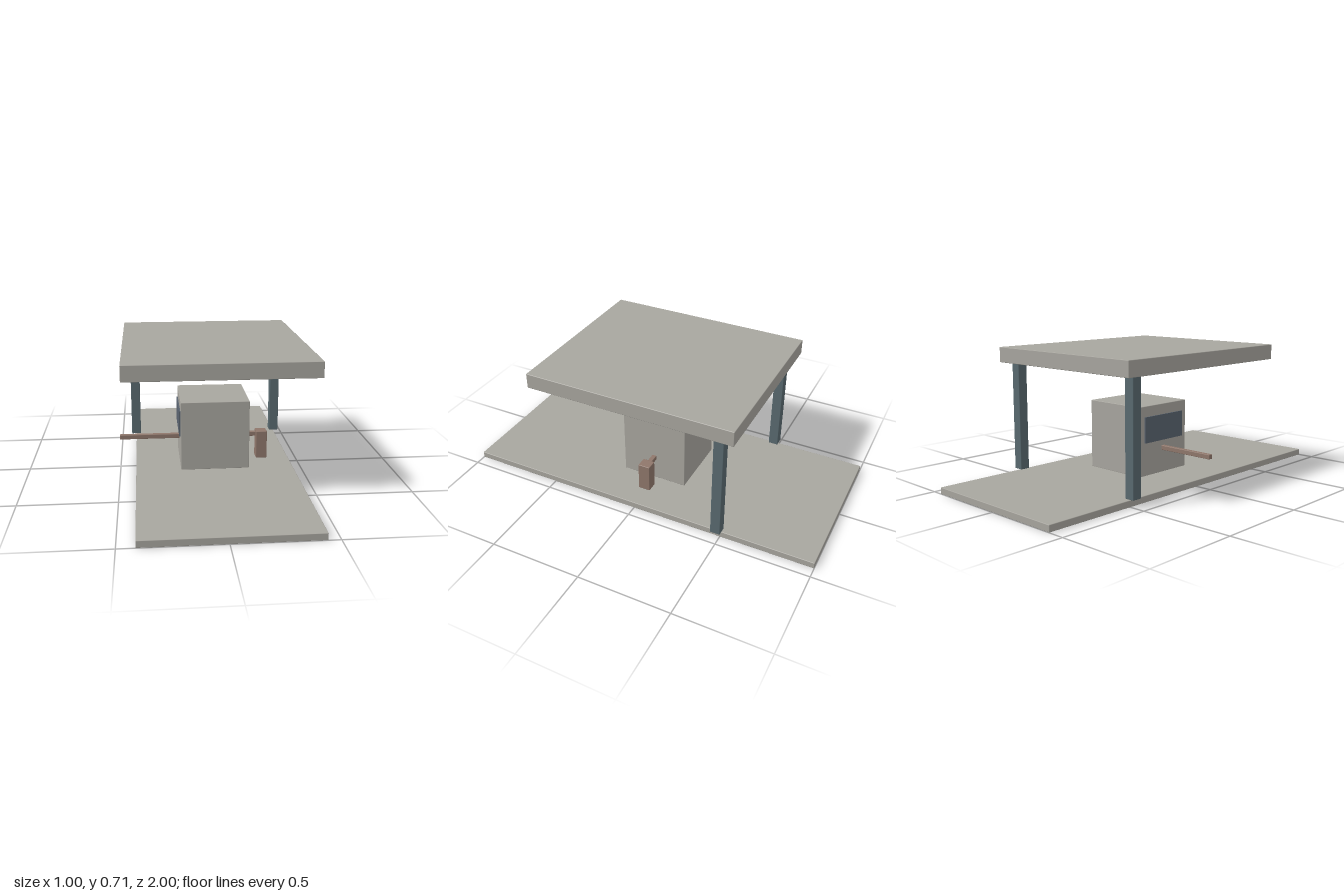
import * as THREE from 'three';
import { RoundedBoxGeometry } from 'three/addons/geometries/RoundedBoxGeometry.js';

function material(name, color) {
  const m = new THREE.MeshStandardMaterial({ color });
  m.name = name;
  return m;
}

export function createModel() {
  const group = new THREE.Group();
  const concrete = material('concrete grey', 0xa8a69f);
  const steel = material('steel blue grey', 0x596a70);
  const glass = material('dark glass', 0x5a6470);
  const brown = material('barrier brown', 0x8f776b);

  // Box given by its extents, with a small bevel on the edges
  function block(name, mat, [x0, x1], [y0, y1], [z0, z1], bevel = 0.003) {
    const size = [x1 - x0, y1 - y0, z1 - z0];
    const geometry = bevel
      ? new RoundedBoxGeometry(...size, 1, bevel)
      : new THREE.BoxGeometry(...size);
    const mesh = new THREE.Mesh(geometry, mat);
    mesh.name = name;
    mesh.position.set((x0 + x1) / 2, (y0 + y1) / 2, (z0 + z1) / 2);
    group.add(mesh);
  }

  // Ground slab and canopy
  block('baseSlab', concrete, [-0.413, 0.44], [0, 0.035], [-1, 1]);
  block('canopyRoof', concrete, [-0.471, 0.497], [0.631, 0.713], [-0.57, 0.57]);

  // Rear canopy posts, one on each side
  for (const [name, x] of [['rightPost', -0.414], ['leftPost', 0.441]]) {
    block(name, steel, [x - 0.027, x + 0.027], [0.039, 0.629], [-0.51, -0.456]);
  }

  // Booth with a window on its right side
  block('booth', concrete, [-0.171, 0.197], [0.038, 0.414], [-0.182, 0.185]);
  block('boothWindow', glass, [-0.178, -0.17], [0.217, 0.357], [-0.145, 0.15], 0);

  // Barrier pedestal and its long arm
  block('barrierPedestal', brown, [0.257, 0.318], [0.038, 0.193], [-0.031, 0.035]);
  block('barrierArm', brown, [-0.5, 0.29], [0.161, 0.186], [-0.012, 0.013]);

  // Light panel under the canopy
  block('ceilingLight', concrete, [-0.127, 0.155], [0.61, 0.622], [-0.141, -0.085], 0.002);

  return group;
}
